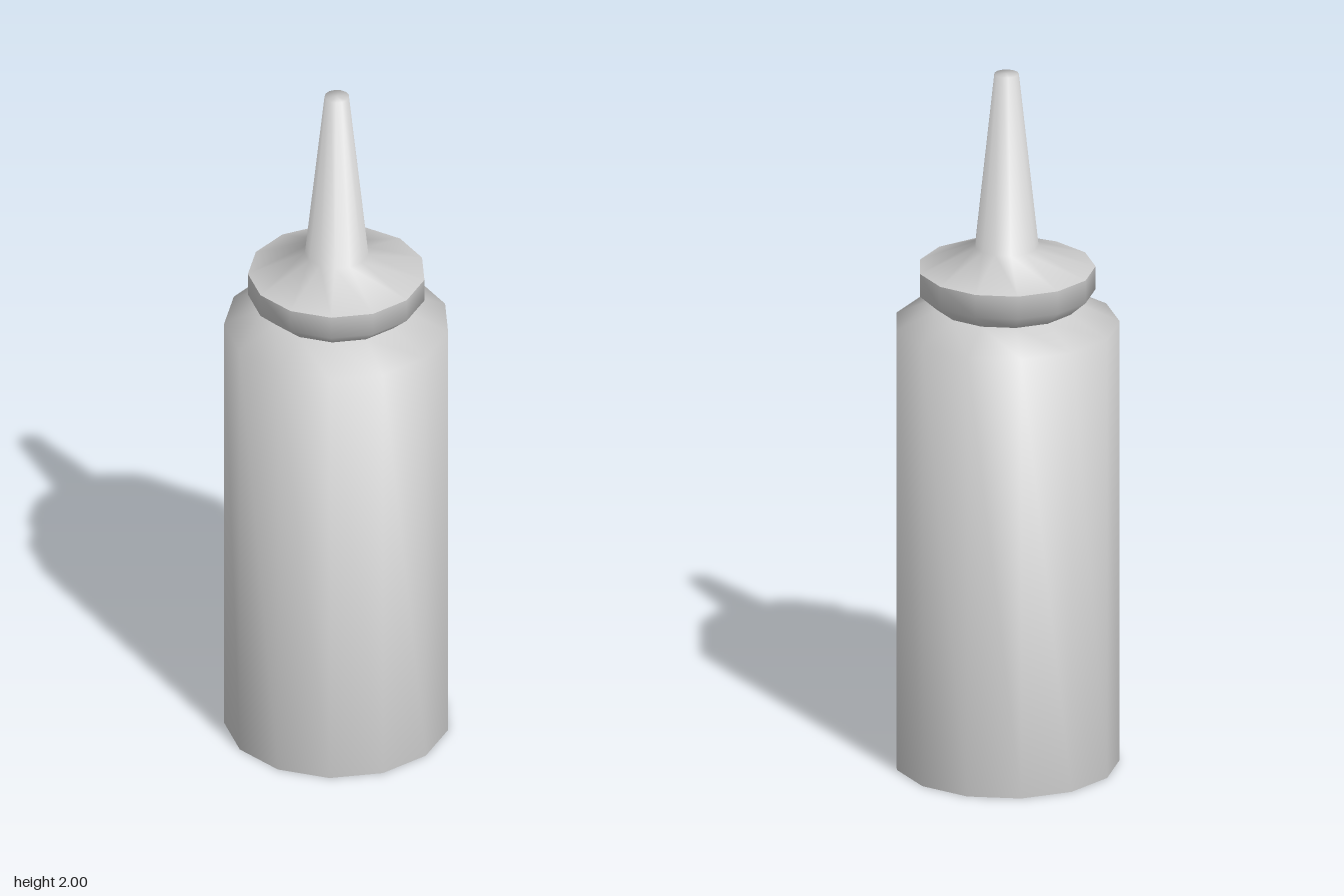
import * as THREE from 'three';

const SIDES = 13;
const material = new THREE.MeshStandardMaterial({ color: 0xcccccc });

// Turned part with a corner on +x; profile runs bottom to top as [radius, y].
// Each profile corner is smoothed evenly between its two neighbouring slopes.
function turned(name, profile) {
  const points = profile.map(([r, y]) => new THREE.Vector2(r, y));
  const geometry = new THREE.LatheGeometry(points, SIDES, Math.PI / 2);

  const slopes = points.slice(1).map((p, i) => {
    const d = p.clone().sub(points[i]).normalize();
    return new THREE.Vector2(d.y, -d.x);
  });
  const normals = points.map((p, j) => {
    if (p.x === 0) return new THREE.Vector2(0, j === 0 ? -1 : 1);
    const before = slopes[Math.max(j - 1, 0)];
    const after = slopes[Math.min(j, slopes.length - 1)];
    return before.clone().add(after).normalize();
  });
  for (let i = 0; i <= SIDES; i++) {
    const a = Math.PI / 2 + (i / SIDES) * Math.PI * 2;
    normals.forEach((n, j) => geometry.attributes.normal.setXYZ(
      i * points.length + j, n.x * Math.sin(a), n.y, n.x * Math.cos(a)));
  }

  const mesh = new THREE.Mesh(geometry, material);
  mesh.name = name;
  return mesh;
}

export function createModel() {
  const model = new THREE.Group();
  model.name = 'squeezeBottle';

  // Bottle: flat base, tall wall and sloping shoulder up to the neck
  const bottle = new THREE.Group();
  bottle.name = 'bottle';
  bottle.add(
    turned('base', [[0, 0], [0.31, 0]]),
    turned('body', [[0.31, 0], [0.31, 1.278], [0.197, 1.33]]),
  );

  // Lid: flared collar, then a sloping top that sweeps into the nozzle
  const lid = new THREE.Group();
  lid.name = 'lid';
  lid.add(
    turned('collar', [[0.197, 1.33], [0.244, 1.372], [0.244, 1.438]]),
    turned('nozzle', [[0.244, 1.438], [0.088, 1.5], [0.034, 2], [0, 2]]),
  );

  model.add(bottle, lid);
  // An odd number of sides sits slightly off its bounding centre
  model.children.forEach((part) => { part.position.x = -0.005; });
  return model;
}
